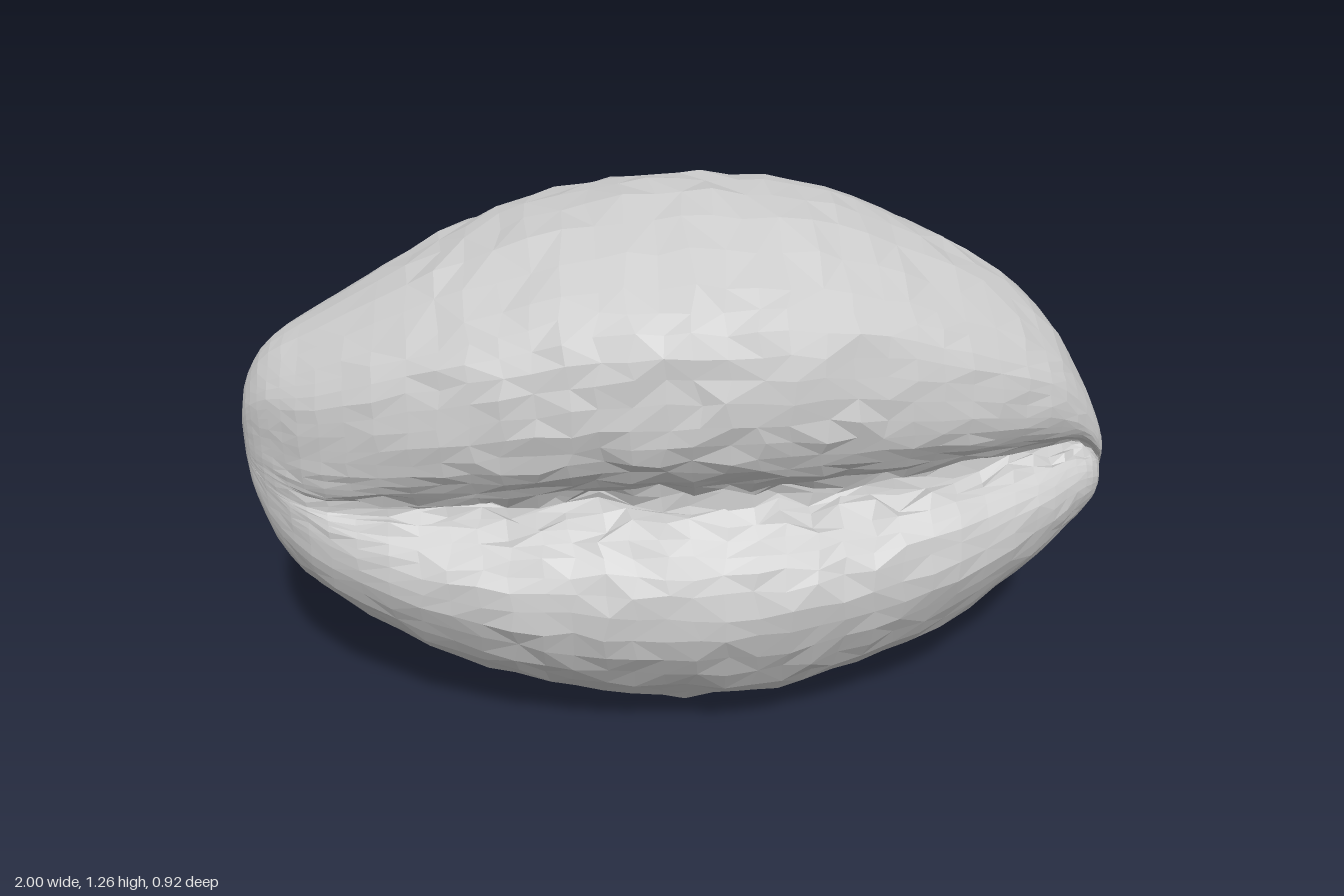
import * as THREE from 'three';

// Middle cross-section [z, y, z when the groove is closed], from the bottom up the front and down the back
const PROFILE = [
  [0, 0], [0.18, 0.035], [0.3, 0.12], [0.4, 0.24], [0.455, 0.37], [0.445, 0.48, 0.46],
  [0.4, 0.55, 0.46], [0.345, 0.595, 0.46], [0.29, 0.615, 0.46], [0.29, 0.67, 0.46],
  [0.345, 0.69, 0.46], [0.39, 0.735, 0.46], [0.43, 0.8, 0.455], [0.445, 0.89], [0.435, 0.99],
  [0.4, 1.08], [0.31, 1.145], [0.12, 1.23], [-0.08, 1.25], [-0.2, 1.22], [-0.3, 1.145],
  [-0.38, 1.02], [-0.425, 0.89], [-0.455, 0.73], [-0.455, 0.58], [-0.43, 0.4], [-0.38, 0.23],
  [-0.3, 0.125], [-0.2, 0.06], [-0.1, 0.01],
];

// Stations along the length: x, bottom, groove height, top, back z, front z, groove strength
const STATIONS = [
  [-1, 0.62, 0.68, 0.76, -0.03, 0.03, 0],
  [-0.98, 0.52, 0.66, 0.84, -0.08, 0.08, 0],
  [-0.92, 0.38, 0.63, 0.92, -0.15, 0.15, 0],
  [-0.8, 0.28, 0.61, 0.99, -0.24, 0.25, 0.35],
  [-0.6, 0.16, 0.61, 1.1, -0.34, 0.35, 0.9],
  [-0.4, 0.08, 0.62, 1.18, -0.41, 0.41, 1],
  [-0.2, 0.02, 0.64, 1.235, -0.45, 0.44, 1],
  [0, 0, 0.64, 1.25, -0.45, 0.455, 1],
  [0.2, 0.01, 0.64, 1.24, -0.43, 0.45, 1],
  [0.4, 0.06, 0.645, 1.19, -0.375, 0.41, 1],
  [0.6, 0.135, 0.65, 1.1, -0.305, 0.35, 1],
  [0.8, 0.27, 0.655, 0.97, -0.235, 0.26, 1.15],
  [0.91, 0.37, 0.65, 0.83, -0.18, 0.19, 1.15],
  [0.97, 0.44, 0.61, 0.7, -0.13, 0.14, 0.6],
  [1, 0.49, 0.55, 0.61, -0.06, 0.06, 0],
];

const MID = 0.64, HEIGHT = 1.25, HALF = 0.457;
const RING = PROFILE.length * 2, SUB = 3;

// Small seeded generator, -1 to 1
function makeNoise(seed) {
  return () => {
    seed = (seed * 16807) % 2147483647;
    return (seed / 2147483647) * 2 - 1;
  };
}

function buildShell() {
  const noise = makeNoise(4711);
  const curve = new THREE.CatmullRomCurve3(
    PROFILE.map(([z, y, closed = z]) => new THREE.Vector3(z, y, closed)), true);
  const ring = Array.from({ length: RING }, (_, j) => curve.getPoint(j / RING));
  const spline = new THREE.CubicInterpolant(
    STATIONS.map((_, i) => i), STATIONS.flat(), 7, new Float32Array(7));
  const rows = (STATIONS.length - 1) * SUB + 1;
  const pos = [], index = [];

  for (let i = 0; i < rows; i++) {
    const [x, bottom, mid, top, back, front, groove] = spline.evaluate(i / SUB);
    // Unevenness shrinks with the section so the tips stay clean
    const size = (front - back) / (2 * HALF);
    const rough = 0.008 * size * size;
    for (const p of ring) {
      // Fit the section to this station, closing the groove towards the ends
      let z = THREE.MathUtils.lerp(p.z, p.x, groove);
      z *= (z > 0 ? front : -back) / HALF;
      let y = p.y > MID
        ? mid + (p.y - MID) / (HEIGHT - MID) * (top - mid)
        : mid - (MID - p.y) / MID * (mid - bottom);
      // Hollow behind the left end
      if (z < 0) z *= 1 - 0.22 * Math.exp(-(((x - 0.78) / 0.12) ** 2) - ((y - 0.62) / 0.18) ** 2);
      // Ragged lips deep in the groove
      const deep = p.z - p.x > 0.1 && groove > 0.6;
      y += noise() * (deep ? 0.03 * size : rough);
      z += noise() * rough;
      pos.push(x + noise() * rough * 1.5, y, z);
    }
  }

  // Skin between rings, with irregular diagonals
  for (let i = 0; i < rows - 1; i++) {
    for (let j = 0; j < RING; j++) {
      const k = (j + 1) % RING;
      const a = i * RING + j, b = a + RING, d = i * RING + k, c = d + RING;
      if (noise() > 0) index.push(a, b, c, a, c, d);
      else index.push(a, b, d, b, c, d);
    }
  }

  // Close both tips
  for (const [row, station, flip] of [[0, STATIONS[0], false], [rows - 1, STATIONS.at(-1), true]]) {
    const centre = pos.length / 3;
    pos.push(station[0], station[2], 0);
    for (let j = 0; j < RING; j++) {
      const a = row * RING + j, b = row * RING + (j + 1) % RING;
      index.push(centre, flip ? b : a, flip ? a : b);
    }
  }

  const geometry = new THREE.BufferGeometry();
  geometry.setAttribute('position', new THREE.Float32BufferAttribute(pos, 3));
  geometry.setIndex(index);
  geometry.computeVertexNormals();
  return geometry;
}

export function createModel() {
  const group = new THREE.Group();
  group.name = 'groovedShell';
  const shell = new THREE.Mesh(buildShell(),
    new THREE.MeshStandardMaterial({ color: 0xcccccc, flatShading: true }));
  shell.name = 'shell';
  group.add(shell);
  return group;
}
